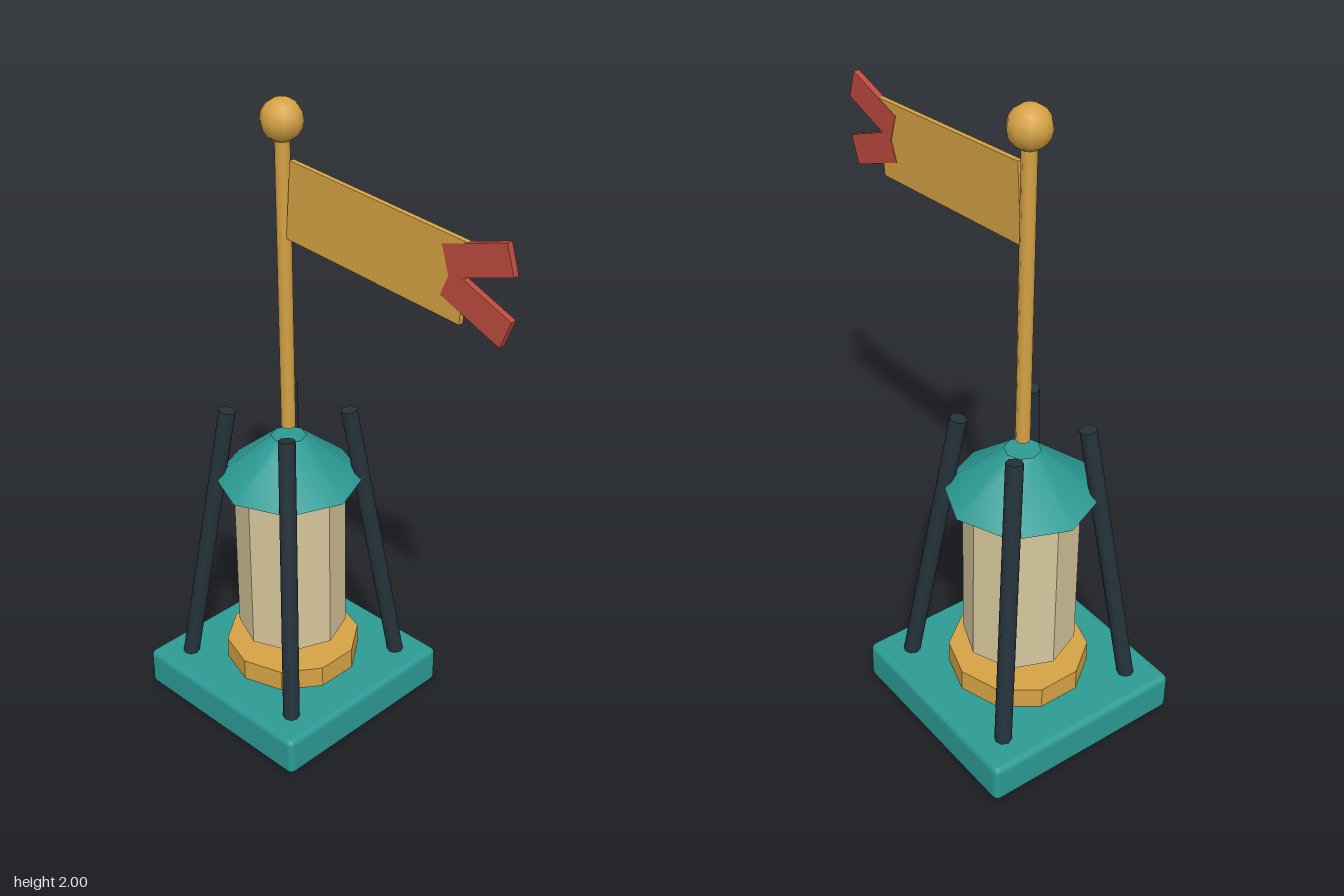
import * as THREE from 'three';
import { RoundedBoxGeometry } from 'three/addons/geometries/RoundedBoxGeometry.js';

const mat = (name, color, flatShading = false) => {
  const m = new THREE.MeshStandardMaterial({ color, flatShading });
  m.name = name;
  return m;
};

export function createModel() {
  const teal = mat('teal', 0x2c9a94);
  const gold = mat('gold', 0xd5a244);
  const cream = mat('cream', 0xd6c69c, true);
  const red = mat('red', 0xbc4a3e);
  const iron = mat('dark iron', 0x25333b);

  const group = new THREE.Group();
  const tower = new THREE.Group();
  tower.name = 'lanternTower';
  tower.position.x = -0.25;
  group.add(tower);

  const add = (parent, name, geometry, material, x, y, z = 0) => {
    const mesh = new THREE.Mesh(geometry, material);
    mesh.name = name;
    mesh.position.set(x, y, z);
    parent.add(mesh);
    return mesh;
  };
  // Upright cylinder between two heights; faceted gives hard side edges
  const drum = (name, rTop, rBottom, y0, y1, sides, material, faceted) => {
    let geometry = new THREE.CylinderGeometry(rTop, rBottom, y1 - y0, sides);
    if (faceted) {
      geometry = geometry.toNonIndexed();
      geometry.computeVertexNormals();
    }
    return add(tower, name, geometry, material, 0, (y0 + y1) / 2);
  };

  // Plinth, lantern body and roof
  add(tower, 'base', new RoundedBoxGeometry(0.67, 0.13, 0.67, 2, 0.02), teal, 0, 0.065);
  drum('footRing', 0.215, 0.215, 0.125, 0.2, 10, gold, true);
  drum('lanternBody', 0.173, 0.173, 0.255, 0.8, 8, cream, true);
  drum('roofTrim', 0.187, 0.187, 0.788, 0.81, 10, gold, true);
  drum('roof', 0.054, 0.232, 0.8, 0.948, 8, teal, false);

  // Pole with ball finial
  drum('pole', 0.022, 0.022, 0.98, 1.91, 8, gold, false);
  add(tower, 'finial', new THREE.SphereGeometry(0.0625, 10, 8), gold, 0, 1.9375);

  // Four legs leaning inward
  const up = new THREE.Vector3(0, 1, 0);
  for (const sx of [-1, 1]) {
    for (const sz of [-1, 1]) {
      const foot = new THREE.Vector3(sx * 0.24, 0.11, sz * 0.24);
      const tip = new THREE.Vector3(sx * 0.13, 1.033, sz * 0.13);
      const span = tip.clone().sub(foot);
      const mid = foot.clone().add(tip).multiplyScalar(0.5);
      const leg = add(tower, 'leg', new THREE.CylinderGeometry(0.026, 0.026, span.length(), 8),
        iron, mid.x, mid.y, mid.z);
      leg.quaternion.setFromUnitVectors(up, span.normalize());
    }
  }

  // Banner with two tails
  const flag = new THREE.Group();
  flag.name = 'flag';
  group.add(flag);
  add(flag, 'banner', new THREE.BoxGeometry(0.645, 0.236, 0.016), gold, 0.098, 1.688)
    .rotation.z = -0.08;
  const tail = new THREE.BoxGeometry(0.22, 0.09, 0.019);
  add(flag, 'upperTail', tail, red, 0.463, 1.742).rotation.z = 0.3;
  add(flag, 'lowerTail', tail, red, 0.463, 1.61).rotation.z = -0.39;

  return group;
}
